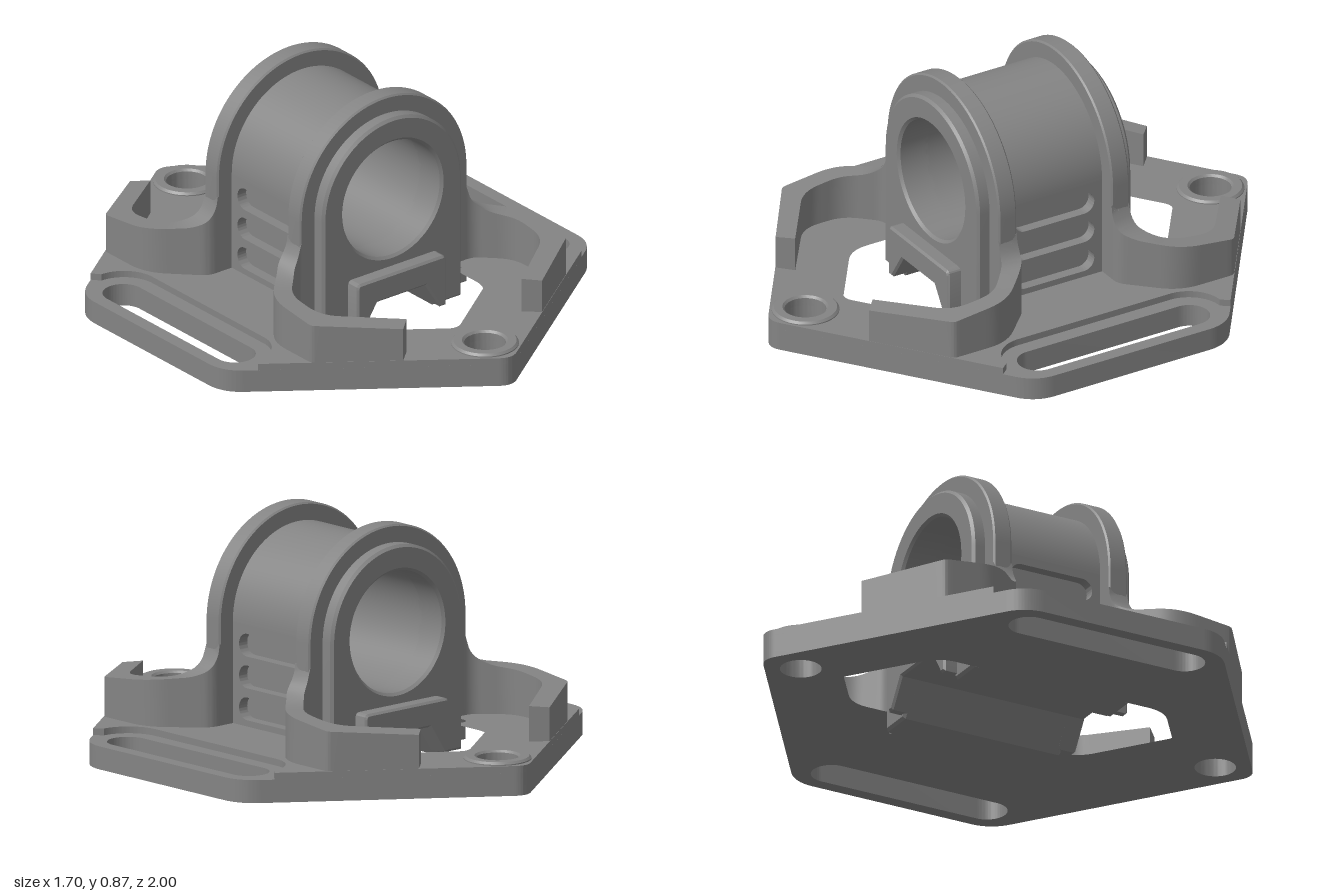
import * as THREE from 'three';
import { toCreasedNormals } from 'three/addons/utils/BufferGeometryUtils.js';

const material = new THREE.MeshStandardMaterial({ color: 0x848484 });
const AXIS = 0.485; // height of the bore axis
const BORE = 0.225;

// Closed outline with rounded corners; points are [x, y, radius]
function rounded(points, Type = THREE.Shape) {
  const path = new Type();
  const n = points.length;
  const toward = (a, b, d) => {
    const l = Math.hypot(b[0] - a[0], b[1] - a[1]);
    return [a[0] + (b[0] - a[0]) * d / l, a[1] + (b[1] - a[1]) * d / l];
  };
  points.forEach((p, i) => {
    const r = p[2] || 0;
    const start = r ? toward(p, points[(i + n - 1) % n], r) : p;
    if (i) path.lineTo(start[0], start[1]);
    else path.moveTo(start[0], start[1]);
    if (r) path.quadraticCurveTo(p[0], p[1], ...toward(p, points[(i + 1) % n], r));
  });
  path.closePath();
  return path;
}

function circle(x, y, r, Type = THREE.Path) {
  const path = new Type();
  path.absarc(x, y, r, 0, Math.PI * 2);
  return path;
}

// Stadium outline standing along the second axis
function stadium(x, halfLength, r) {
  const path = new THREE.Path();
  path.absarc(x, halfLength - r, r, 0, Math.PI);
  path.absarc(x, r - halfLength, r, Math.PI, Math.PI * 2);
  path.closePath();
  return path;
}

// Extrusion between a and b, with chamfered rims
function extrude(shape, a, b, bevel = 0) {
  const g = new THREE.ExtrudeGeometry(shape, {
    depth: b - a - 2 * bevel, bevelEnabled: bevel > 0, bevelThickness: bevel,
    bevelSize: bevel, bevelOffset: -bevel, bevelSegments: 1, curveSegments: 32,
  });
  g.translate(0, 0, a + bevel);
  return toCreasedNormals(g, 0.5);
}

// Plan shape (x, z) raised from y = a to y = b
const plan = (shape, a, b, bevel) => extrude(shape, -b, -a, bevel).rotateX(Math.PI / 2);

// Arched housing section with a round bore and a trapezoid channel below
function archSection(radius, legHalf, y0, bore) {
  const s = new THREE.Shape();
  s.moveTo(legHalf, y0);
  s.lineTo(legHalf, AXIS);
  if (legHalf !== radius) s.lineTo(radius, AXIS);
  s.absarc(0, AXIS, radius, 0, Math.PI);
  if (legHalf !== radius) s.lineTo(-legHalf, AXIS);
  s.lineTo(-legHalf, y0);
  s.lineTo(-0.19, y0);
  s.lineTo(-0.11, 0.125);
  s.lineTo(0.11, 0.125);
  s.lineTo(0.19, y0);
  s.closePath();
  s.holes.push(circle(0, AXIS, bore));
  return s;
}

// Open polyline with rounded inner corners, evenly sampled per piece
function railPoints(points) {
  const out = [];
  const add = (curve) => out.push(...curve.getPoints(8).slice(out.length ? 1 : 0));
  let last = new THREE.Vector2(points[0][0], points[0][1]);
  for (let i = 1; i < points.length; i++) {
    const p = new THREE.Vector2(points[i][0], points[i][1]);
    if (i === points.length - 1) { add(new THREE.LineCurve(last, p)); break; }
    const next = new THREE.Vector2(points[i + 1][0], points[i + 1][1]);
    const r = points[i][2];
    const a = p.clone().add(last.clone().sub(p).setLength(r));
    const b = p.clone().add(next.sub(p).setLength(r));
    add(new THREE.LineCurve(last, a));
    add(new THREE.QuadraticBezierCurve(a, p, b));
    last = b;
  }
  return out;
}

// Curved guard wall: slopes down outward and sweeps up into the flange
function wallGeometry(sx, sz) {
  const outer = railPoints([[0.375, 0.2], [0.425, 0.2, 0.03], [0.59, 0.365, 0.08], [0.59, 0.59, 0.015], [0.32, 0.784]]);
  const inner = railPoints([[0.375, 0.275], [0.41, 0.275, 0.03], [0.515, 0.38, 0.06], [0.515, 0.55, 0.07], [0.265, 0.735]]);
  const top = (p) => {
    const slope = Math.max(0.235, 0.3 - (p.y - 0.2) * 0.112);
    const dx = p.y < 0.42 ? Math.min(0.11, Math.max(0, 0.495 - p.x)) : 0;
    return slope + 0.11 - Math.sqrt(0.0121 - dx * dx);
  };
  const pos = [];
  const put = (v) => pos.push(v[0] * sx, v[1], v[2] * sz);
  const quad = (a, b, c, d) => (sx * sz > 0 ? [a, b, c, a, c, d] : [a, c, b, a, d, c]).forEach(put);
  const loops = outer.map((o, i) => {
    const n = inner[i];
    return [[o.x, 0.1, o.y], [o.x, top(o), o.y], [n.x, top(n), n.y], [n.x, 0.1, n.y]];
  });
  for (let i = 0; i < loops.length - 1; i++) {
    for (let k = 0; k < 4; k++) {
      const m = (k + 1) % 4;
      quad(loops[i][k], loops[i][m], loops[i + 1][m], loops[i + 1][k]);
    }
  }
  const s = loops[0], e = loops[loops.length - 1];
  quad(s[0], s[3], s[2], s[1]);
  quad(e[0], e[1], e[2], e[3]);
  const g = new THREE.BufferGeometry();
  g.setAttribute('position', new THREE.Float32BufferAttribute(pos, 3));
  return toCreasedNormals(g, 0.5);
}

export function createModel() {
  const model = new THREE.Group();
  const add = (name, geometry) => {
    const mesh = new THREE.Mesh(geometry, material);
    mesh.name = name;
    model.add(mesh);
  };

  // Two end windows joined by the channel under the housing
  const half = [[0, 0.7, 0.04], [0.325, 0.465, 0.07], [0.325, 0.3], [0.19, 0.3]];
  const flipZ = half.slice(1).reverse().map(([x, z, r]) => [x, -z, r]);
  const side = [...half, ...flipZ];
  const opening = [...side, [0, -0.7, 0.04],
    ...side.slice(1).reverse().map(([x, z, r]) => [-x, z, r])];
  const cutPlate = (shape) => {
    shape.holes.push(rounded(opening, THREE.Path));
    for (const s of [1, -1]) shape.holes.push(circle(0, s * 0.855, 0.075));
    return shape;
  };

  // Lower plate layer with the strap slots
  const base = cutPlate(rounded([[0, 1.015, 0.05], [0.85, 0.405, 0.08], [0.85, -0.405, 0.08],
    [0, -1.015, 0.05], [-0.85, -0.405, 0.08], [-0.85, 0.405, 0.08]]));
  for (const s of [1, -1]) base.holes.push(stadium(s * 0.723, 0.395, 0.075));
  add('basePlate', plan(base, 0, 0.085));

  // Upper layer, flush with the plate edge and cut back around each slot
  const upper = new THREE.Shape();
  upper.moveTo(0.0406, 0.9858);
  upper.lineTo(0.745, 0.4803);
  upper.lineTo(0.72, 0.45);
  upper.absarc(0.72, 0.32, 0.13, Math.PI / 2, Math.PI);
  upper.absarc(0.72, -0.32, 0.13, Math.PI, Math.PI * 1.5);
  upper.lineTo(0.745, -0.4803);
  upper.lineTo(0.0406, -0.9858);
  upper.quadraticCurveTo(0, -1.015, -0.0406, -0.9858);
  upper.lineTo(-0.745, -0.4803);
  upper.lineTo(-0.72, -0.45);
  upper.absarc(-0.72, -0.32, 0.13, -Math.PI / 2, 0);
  upper.absarc(-0.72, 0.32, 0.13, 0, Math.PI / 2);
  upper.lineTo(-0.745, 0.4803);
  upper.lineTo(-0.0406, 0.9858);
  upper.quadraticCurveTo(0, 1.015, 0.0406, 0.9858);
  add('raisedDeck', plan(cutPlate(upper), 0.085, 0.11));

  // Housing core; its side skins carry the recessed grips
  add('housingCore', extrude(archSection(0.32, 0.28, 0.002, BORE), -0.21, 0.21));
  for (const s of [1, -1]) {
    const skin = new THREE.Shape([[-0.21, 0.08], [0.21, 0.08], [0.21, AXIS], [-0.21, AXIS]]
      .map(([x, y]) => new THREE.Vector2(x, y)));
    for (const y of [0.175, 0.293, 0.41]) {
      const slot = new THREE.Path();
      slot.absarc(0.125, y, 0.042, -Math.PI / 2, Math.PI / 2);
      slot.absarc(-0.125, y, 0.042, Math.PI / 2, Math.PI * 1.5);
      slot.closePath();
      skin.holes.push(slot);
    }
    const [a, b] = s > 0 ? [0.275, 0.32] : [-0.32, -0.275];
    add('grippedSide', extrude(skin, a, b).rotateY(Math.PI / 2));
  }

  for (const s of [1, -1]) {
    const span = (a, b) => (s > 0 ? [a, b] : [-b, -a]);
    add('housingEnd', extrude(archSection(0.32, 0.32, 0.002, BORE), ...span(0.19, 0.325), 0.01));
    add('flange', extrude(archSection(0.385, 0.385, 0.02, 0.25), ...span(0.2, 0.275), 0.006));

    // Stepped lip over the channel mouth
    const lip = rounded([[0.205, 0.22, 0.02], [0.205, 0.02], [0.178, 0.02], [0.11, 0.125],
      [-0.11, 0.125], [-0.178, 0.02], [-0.205, 0.02], [-0.205, 0.22, 0.02]]);
    add('channelLip', extrude(lip, ...span(0.3, 0.38), 0.008));

    // Screw boss
    const boss = circle(0, s * 0.855, 0.122, THREE.Shape);
    boss.holes.push(circle(0, s * 0.855, 0.075));
    add('screwBoss', plan(boss, 0.09, 0.122, 0.008));

    for (const sx of [1, -1]) add('guardWall', wallGeometry(sx, s));
  }
  return model;
}
